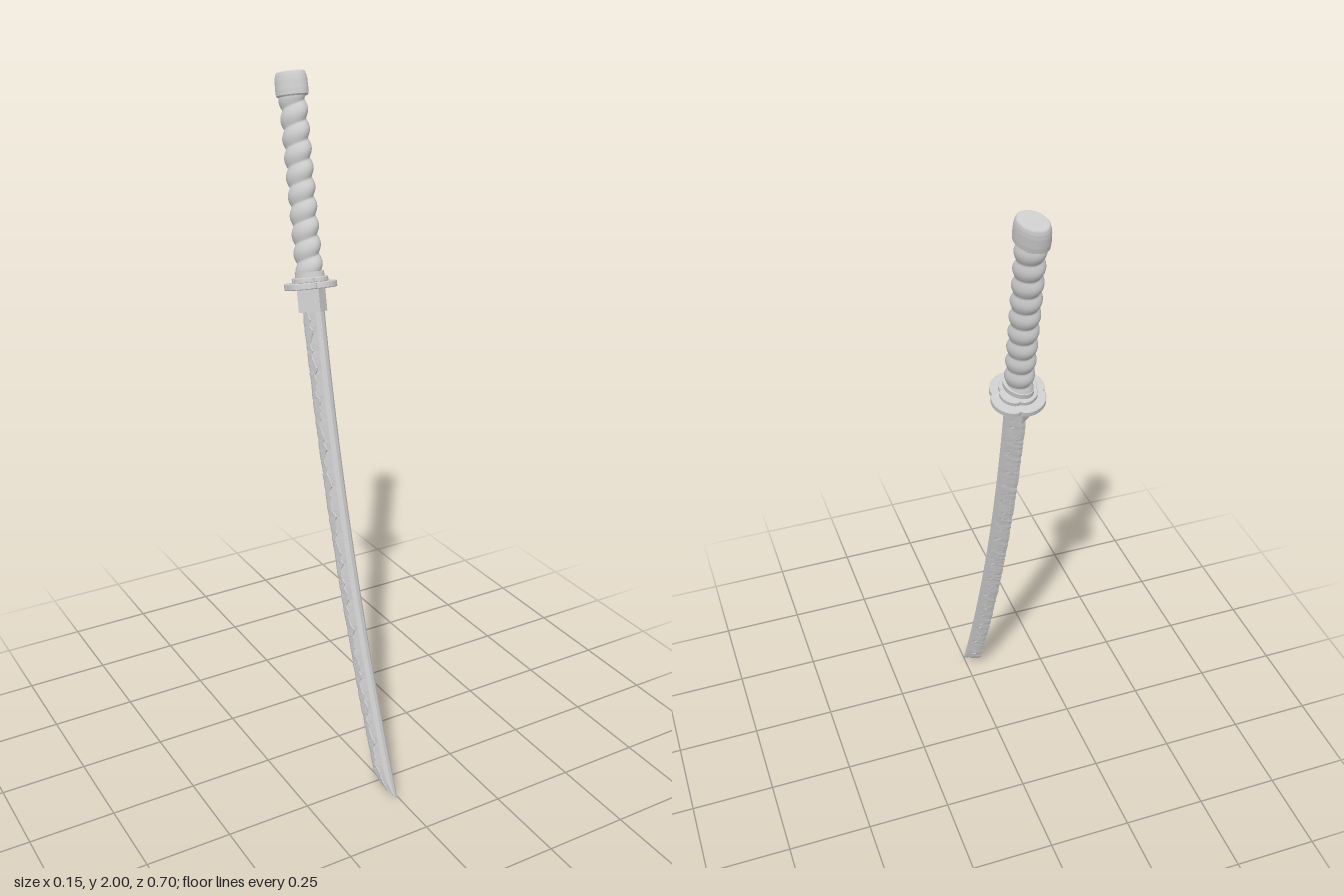
import * as THREE from 'three';

const smooth = new THREE.MeshStandardMaterial({ color: 0xcccccc });
const faceted = new THREE.MeshStandardMaterial({ color: 0xcccccc, flatShading: true });

// Closed surface through rings of points; rings run upward, points turn from +x to +z
function loft(rings) {
  const n = rings[0].length, m = rings.length, index = [];
  for (let i = 0; i < m - 1; i++) {
    for (let j = 0; j < n; j++) {
      const k = (j + 1) % n;
      const a = i * n + j, b = i * n + k, c = a + n, d = b + n;
      index.push(a, c, b, b, c, d);
    }
  }
  for (let j = 1; j < n - 1; j++) {
    const t = (m - 1) * n;
    index.push(0, j, j + 1, t, t + j + 1, t + j);
  }
  const g = new THREE.BufferGeometry().setFromPoints(rings.flat());
  g.setIndex(index);
  g.computeVertexNormals();
  return g;
}

// Oval ring of half-widths a and b at height y, scaled per angle by f
function oval(a, b, y, f = () => 1, n = 40) {
  return Array.from({ length: n }, (_, j) => {
    const t = (j / n) * Math.PI * 2;
    return new THREE.Vector3(a * f(t) * Math.cos(t), y, b * f(t) * Math.sin(t));
  });
}

// Four-lobed plate lying flat, from y0 to y0 + h
function lobedPlate(size, y0, h) {
  const pts = [];
  for (let j = 0; j < 96; j++) {
    const t = (j / 96) * Math.PI * 2;
    const r = size * (0.86 + 0.14 * Math.sqrt(Math.abs(Math.cos(2 * t))));
    pts.push(new THREE.Vector2(r * Math.cos(t), r * Math.sin(t)));
  }
  const bevel = 0.002;
  const g = new THREE.ExtrudeGeometry(new THREE.Shape(pts), {
    depth: h - 2 * bevel, bevelSize: bevel, bevelThickness: bevel, bevelOffset: -bevel, bevelSegments: 1,
  });
  return g.rotateX(-Math.PI / 2).translate(0, y0 + bevel, 0);
}

// Curved blade: edge on -x, spine on +x, tip swept toward the spine
function bladeGeometry() {
  const rings = [], rows = 150, start = 0.05, end = 1.52, tip = 0.085;
  for (let i = 0; i <= rows; i++) {
    const s = end - (end - start) * (i / rows);
    const h = 0.034 - 0.005 * (s / end);
    const k = Math.max(0, (s - end + tip) / tip);
    const f = 0.98 * Math.pow(k, 1.9);
    const wave = Math.sin(s * 57) + 0.7 * Math.sin(s * 131 + 1) + 0.5 * Math.sin(s * 223 + 2);
    const line = -0.25 * h + 0.005 * wave * (1 - k);
    const edge = -h + 0.0012 * Math.sin(s * 97 + 2 * wave) * (1 - k);
    const swell = 0.0145 + 0.0018 * wave * (1 - k);
    // Half section: spine peak, spine corner, ridge, temper line step, edge
    const half = [[h, 0], [h - 0.003, 0.0115], [0.45 * h, 0.0145],
      [line + 0.002, 0.0115], [line, swell], [edge + 0.006, 0.006], [edge, 0]];
    const section = half.concat(half.slice(1, -1).reverse().map(([x, z]) => [x, -z]));
    const bend = 0.045 * s * s, drift = 0.008 * s * s;
    rings.push(section.map(([x, z]) =>
      new THREE.Vector3(bend + h - (h - x) * (1 - f), -s, drift + z * (1 - 0.5 * f))));
  }
  return loft(rings);
}

export function createModel() {
  const model = new THREE.Group();
  model.name = 'sword';
  const sword = new THREE.Group();
  sword.name = 'tiltedSword';
  model.add(sword);
  const add = (name, geometry, material) => {
    const mesh = new THREE.Mesh(geometry, material);
    mesh.name = name;
    sword.add(mesh);
  };

  add('blade', bladeGeometry(), faceted);
  add('collar', new THREE.BoxGeometry(0.07, 0.078, 0.04).translate(0, -0.048, 0), faceted);

  // Guard with a smaller washer plate and a ring above it
  add('guard', lobedPlate(0.077, -0.021, 0.018), faceted);
  add('guardWasher', lobedPlate(0.053, -0.004, 0.015), faceted);
  add('gripRing', loft([oval(0.044, 0.032, 0.01), oval(0.044, 0.032, 0.026)]), faceted);

  // Grip wound with a rounded spiral cord
  const turns = 9.5, gripRings = [];
  for (let i = 0; i <= 133; i++) {
    const u = i / 133;
    const cord = (t) => 0.81 + 0.22 * Math.abs(Math.sin(Math.PI * (turns * u + t / (2 * Math.PI))));
    gripRings.push(oval(0.041, 0.03, 0.02 + 0.5 * u, cord));
  }
  add('grip', loft(gripRings), smooth);

  // Oval pommel cap with rounded shoulders
  const capProfile = [[0.88, 0.506], [0.98, 0.51], [1, 0.525], [0.98, 0.55], [0.94, 0.562], [0.88, 0.57], [0.82, 0.573]];
  add('pommelCap', loft(capProfile.map(([k, y]) => oval(0.049 * k, 0.036 * k, y))), faceted);

  // Lean the sword back and turn it about its own axis
  const up = new THREE.Vector3(0.042, 0.965, -0.26).normalize();
  const yaw = THREE.MathUtils.degToRad(58);
  const wide = new THREE.Vector3(Math.cos(yaw), 0, Math.sin(yaw));
  wide.addScaledVector(up, -wide.dot(up)).normalize();
  const thin = new THREE.Vector3().crossVectors(wide, up);
  sword.quaternion.setFromRotationMatrix(new THREE.Matrix4().makeBasis(wide, up, thin));

  // Stand it on the ground, centred
  model.updateMatrixWorld(true);
  const box = new THREE.Box3().setFromObject(model, true);
  const centre = box.getCenter(new THREE.Vector3());
  sword.position.set(-centre.x, -box.min.y, -centre.z);
  return model;
}
